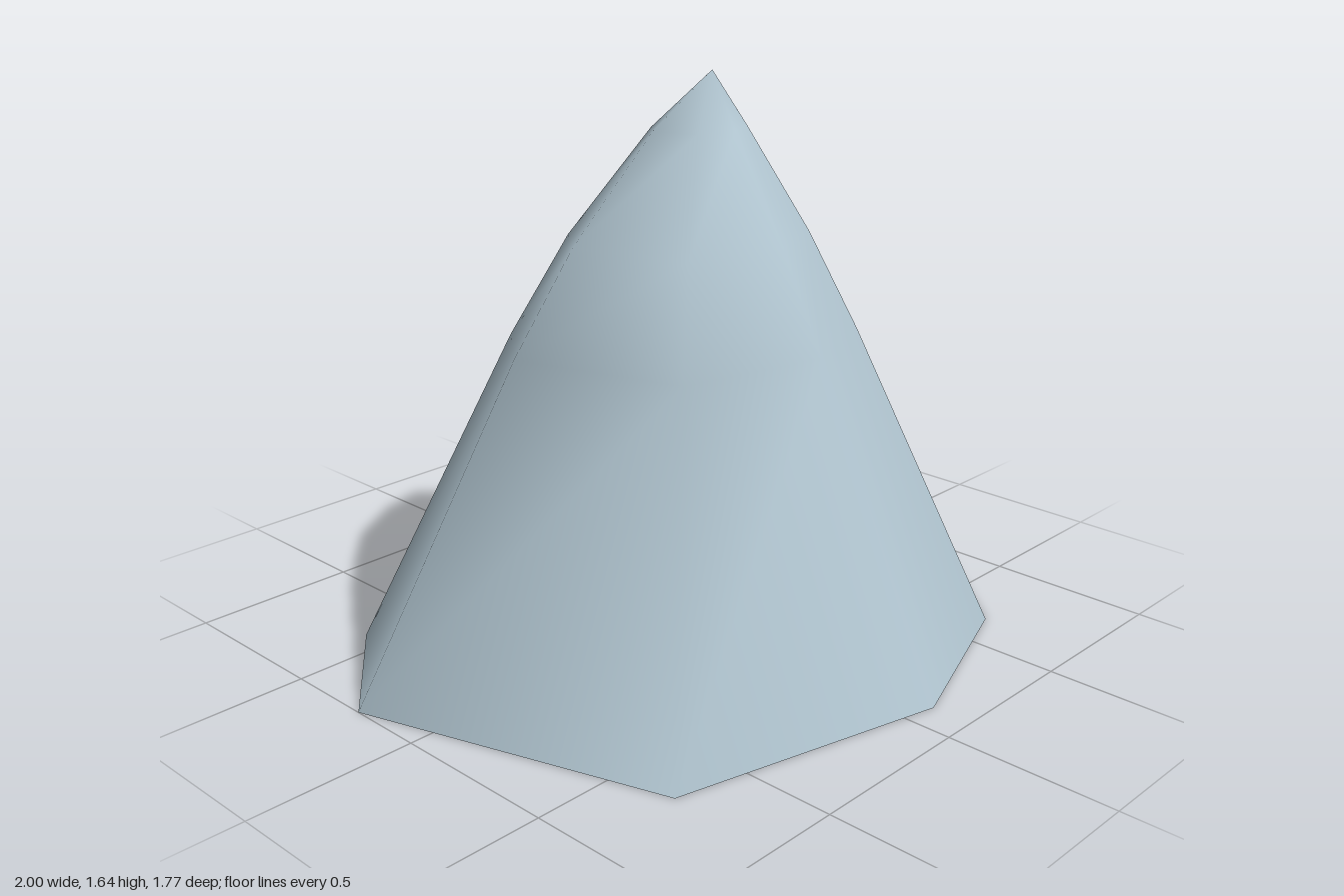
import * as THREE from 'three';

// Irregular eight-sided outline, as x, z corners
const OUTLINE = [
  [0.22, -0.89], [0.65, -0.59], [1, 0.27], [0.65, 0.68],
  [0.1, 0.88], [-0.71, 0.68], [-1, -0.23], [-0.71, -0.59],
];

// Cross-sections from rim to tip: y, centre x, centre z, scale x, scale z
const RINGS = [
  [0, 0, 0, 1, 1],
  [0.92, 0.01, 0.02, 0.53, 0.53],
  [1.2, 0.035, 0.015, 0.365, 0.365],
  [1.49, 0.09, 0.005, 0.15, 0.14],
];
const TIP = [0.15, 1.64, 0];

function leaningShell() {
  const n = OUTLINE.length;
  const positions = [];
  const index = [];
  for (const [y, cx, cz, sx, sz] of RINGS) {
    for (const [x, z] of OUTLINE) positions.push(cx + x * sx, y, cz + z * sz);
  }
  const tip = RINGS.length * n;
  positions.push(...TIP);

  for (let r = 0; r < RINGS.length; r++) {
    for (let i = 0; i < n; i++) {
      const a = r * n + i;
      const b = r * n + ((i + 1) % n);
      if (r === RINGS.length - 1) index.push(b, a, tip);
      else index.push(b, a, a + n, b, a + n, b + n);
    }
  }
  const geometry = new THREE.BufferGeometry();
  geometry.setAttribute('position', new THREE.Float32BufferAttribute(positions, 3));
  geometry.setIndex(index);
  geometry.computeVertexNormals();
  return geometry;
}

export function createModel() {
  const model = new THREE.Group();
  model.name = 'curvedCone';

  const paleBlueGrey = new THREE.MeshStandardMaterial({ color: 0xb0c4cf, side: THREE.DoubleSide });
  paleBlueGrey.name = 'pale blue grey';

  // Hollow shell, open at the bottom
  const shell = new THREE.Mesh(leaningShell(), paleBlueGrey);
  shell.name = 'shell';
  model.add(shell);
  return model;
}
